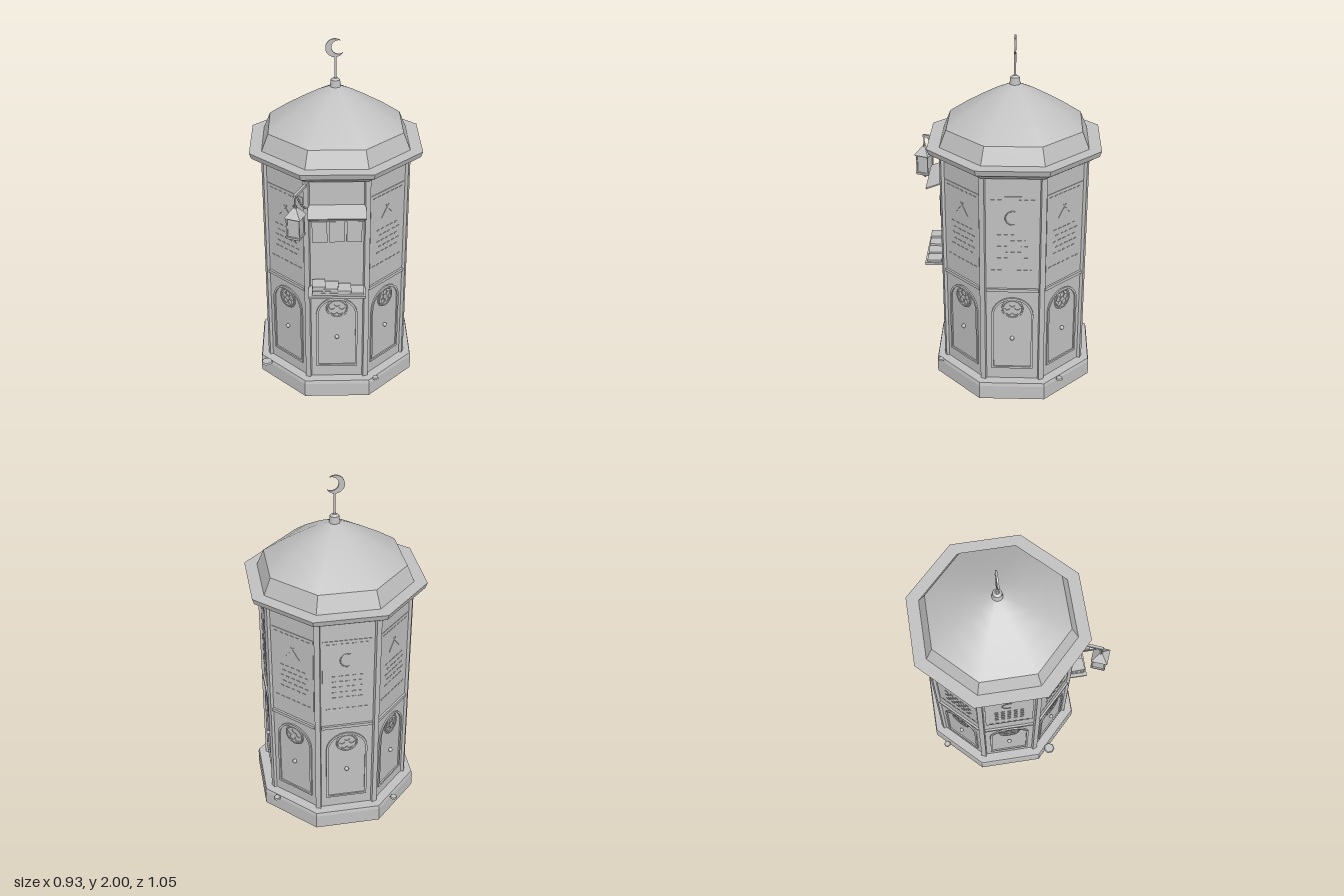
import * as THREE from 'three';

export function createModel() {
  const model = new THREE.Group();
  model.name = 'octagonalKiosk';
  const stone = new THREE.MeshStandardMaterial({ color: 0xc0c0c0 });
  const CZ = -0.06;      // centre of the tower
  const WALL = 0.387;    // wall distance from the centre
  const COS = Math.cos(Math.PI / 8);

  function add(parent, name, geo, x = 0, y = 0, z = 0) {
    const mesh = new THREE.Mesh(geo, stone);
    mesh.name = name;
    mesh.position.set(x, y, z);
    parent.add(mesh);
    return mesh;
  }
  const box = (w, h, d) => new THREE.BoxGeometry(w, h, d);

  // Eight-sided shell from [apothem, height] pairs
  function shell(name, profile, flat = true) {
    const pts = profile.map(([a, y]) => new THREE.Vector2(a / COS, y));
    let geo = new THREE.LatheGeometry(pts, 8, Math.PI / 8);
    if (flat) {
      geo = geo.toNonIndexed();
      geo.computeVertexNormals();
    }
    return add(model, name, geo, 0, 0, CZ);
  }

  shell('plinth', [[0, 0], [0.445, 0], [0.445, 0.085], [0.44, 0.105], [0, 0.105]]);
  shell('walls', [[WALL, 0.1], [WALL, 1.38]]);
  shell('cornice', [[0, 1.36], [0.397, 1.36], [0.447, 1.395], [0.455, 1.4], [0.465, 1.432], [0, 1.432]]);
  shell('roofSkirt', [[0.4, 1.43], [0.3625, 1.525]]);
  shell('dome', [[0.3625, 1.525], [0.26, 1.601], [0.16, 1.666], [0.09, 1.708], [0.03, 1.736], [0, 1.745]], false);

  // Finial with crescent
  add(model, 'finialBase', new THREE.CylinderGeometry(0.025, 0.03, 0.045, 16), 0, 1.752, CZ);
  add(model, 'finialCap', new THREE.CylinderGeometry(0.012, 0.025, 0.01, 16), 0, 1.779, CZ);
  add(model, 'finialPole', new THREE.CylinderGeometry(0.006, 0.006, 0.13, 10), 0, 1.845, CZ);
  const moon = new THREE.Shape();
  moon.absarc(0, 0, 0.05, 0.756, Math.PI * 2 - 0.756, false);
  moon.absarc(0.02, 0, 0.038, Math.PI * 2 - 1.125, 1.125, true);
  const moonGeo = new THREE.ExtrudeGeometry(moon, { depth: 0.01, bevelEnabled: false, curveSegments: 24 });
  add(model, 'crescent', moonGeo, -0.003, 1.95, CZ - 0.005).rotation.z = 0.2;

  // Arched frame outline
  function arch(path, half, bottom) {
    path.moveTo(-half, bottom);
    path.lineTo(half, bottom);
    path.lineTo(half, 0.525);
    path.absarc(0, 0.525, half, 0, Math.PI, false);
    path.lineTo(-half, bottom);
    return path;
  }
  const frame = arch(new THREE.Shape(), 0.116, 0.175);
  frame.holes.push(arch(new THREE.Path(), 0.104, 0.187));
  const frameGeo = new THREE.ExtrudeGeometry(frame, { depth: 0.008, bevelEnabled: false, curveSegments: 16 });

  // Pierced rosette
  const disc = new THREE.Shape().absarc(0, 0, 0.05, 0, Math.PI * 2, false);
  for (let k = 0; k < 5; k++) {
    const a = Math.PI / 2 + k * Math.PI * 0.4;
    disc.holes.push(new THREE.Path().absarc(0.029 * Math.cos(a), 0.029 * Math.sin(a), 0.0155, 0, Math.PI * 2, true));
  }
  const rosetteGeo = new THREE.ExtrudeGeometry(disc, { depth: 0.005, bevelEnabled: false, curveSegments: 10 });
  const ringGeo = new THREE.TorusGeometry(0.056, 0.005, 6, 28);
  const knobGeo = new THREE.SphereGeometry(0.012, 12, 8);
  const dashGeo = box(0.02, 0.005, 0.004);

  // Abstract ornament on an upper panel
  function ornament(side, diagonal) {
    add(side, 'upperPanel', box(0.27, 0.46, 0.004), 0, 1.025, 0.001);
    const g = new THREE.Group();
    g.name = 'panelOrnament';
    g.position.z = 0.004;
    side.add(g);
    for (let k = -3; k <= 3; k++) {
      add(g, 'upperDash', dashGeo, k * 0.035, 1.235, 0);
      add(g, 'lowerDash', dashGeo, k * 0.035, 0.815, 0);
    }
    for (let r = 0; r < 5; r++) {
      for (let k = -2; k <= 2; k++) {
        add(g, 'fieldDash', dashGeo, k * 0.036 + (diagonal && r % 2 ? 0.016 : 0), 0.89 + r * 0.035, 0);
      }
    }
    if (diagonal) {
      for (const s of [-1, 1]) {
        add(g, 'crossBar', box(0.006, 0.09, 0.004), s * 0.018, 1.13, 0).rotation.z = s * 0.7;
      }
    } else {
      add(g, 'arcMotif', new THREE.TorusGeometry(0.04, 0.003, 4, 14, Math.PI * 1.2), 0, 1.13, 0).rotation.z = 1.2;
    }
  }

  // Eight faces and corner posts
  for (let i = 0; i < 8; i++) {
    const turn = new THREE.Group();
    turn.name = 'face' + i;
    turn.position.z = CZ;
    turn.rotation.y = i * Math.PI / 4;
    model.add(turn);
    const side = new THREE.Group();
    side.name = 'facePanel' + i;
    side.position.z = WALL;
    turn.add(side);
    add(side, 'archFrame', frameGeo);
    add(side, 'rosette', rosetteGeo, 0, 0.57, 0);
    add(side, 'rosetteRing', ringGeo, 0, 0.57, 0.002);
    add(side, 'knob', knobGeo, 0, 0.38, 0.008);
    add(side, 'band', box(0.285, 0.018, 0.024), 0, 0.691, 0);
    if (i > 0) ornament(side, i % 2 === 1);

    const corner = new THREE.Group();
    corner.name = 'corner' + i;
    corner.position.z = CZ;
    corner.rotation.y = (i + 0.5) * Math.PI / 4;
    model.add(corner);
    add(corner, 'cornerPost', box(0.03, 1.27, 0.026), 0, 0.735, 0.417);
  }

  // Serving front: awning, hanging cards, shelf with stacks
  const wallZ = CZ + WALL;
  add(model, 'awning', box(0.31, 0.008, 0.1), 0, 1.2, wallZ + 0.046).rotation.x = 0.36;
  add(model, 'shelf', box(0.31, 0.014, 0.116), 0, 0.712, wallZ + 0.055);
  for (let k = -1; k <= 1; k++) {
    add(model, 'hangingCard', box(0.082, 0.125, 0.006), k * 0.093, 1.068, wallZ + 0.018);
  }
  add(model, 'cardRail', box(0.29, 0.006, 0.016), 0, 1.133, wallZ + 0.01);
  [4, 3, 2, 1].forEach((count, k) => {
    for (let n = 0; n < count; n++) {
      const sheet = add(model, 'stackedSheet', box(0.072, 0.0125, 0.08), -0.1 + k * 0.07, 0.726 + n * 0.0138, wallZ + 0.06);
      sheet.rotation.y = (n % 2 ? 0.04 : -0.03);
    }
  });

  // Bracket and lantern, built outward from a corner post
  const bracket = new THREE.Group();
  bracket.name = 'lanternBracket';
  bracket.position.z = CZ;
  bracket.rotation.y = -Math.PI / 8;
  model.add(bracket);
  const LZ = 0.568;
  add(bracket, 'arm', box(0.014, 0.014, 0.155), 0, 1.343, 0.496);
  const brace = new THREE.QuadraticBezierCurve3(
    new THREE.Vector3(0, 1.21, 0.43), new THREE.Vector3(0, 1.25, 0.5), new THREE.Vector3(0, 1.34, 0.545));
  add(bracket, 'brace', new THREE.TubeGeometry(brace, 12, 0.005, 6));
  add(bracket, 'hanger', new THREE.CylinderGeometry(0.004, 0.004, 0.06, 8), 0, 1.312, LZ);
  add(bracket, 'hangerRing', new THREE.TorusGeometry(0.01, 0.003, 6, 14), 0, 1.285, LZ);
  function pyramid(name, top, bottom, h, y) {
    const geo = new THREE.CylinderGeometry(top * Math.SQRT2, bottom * Math.SQRT2, h, 4, 1, false, Math.PI / 4).toNonIndexed();
    geo.computeVertexNormals();
    add(bracket, name, geo, 0, y, LZ);
  }
  pyramid('lanternRoof', 0.008, 0.045, 0.05, 1.255);
  pyramid('lanternGlass', 0.032, 0.032, 0.11, 1.175);
  pyramid('lanternBase', 0.04, 0.038, 0.014, 1.116);
  pyramid('lanternRim', 0.04, 0.04, 0.008, 1.228);
  pyramid('lanternFoot', 0.022, 0.008, 0.02, 1.1);
  add(bracket, 'lanternDrop', new THREE.SphereGeometry(0.008, 10, 6), 0, 1.09, LZ);
  for (const sx of [-1, 1]) {
    for (const sz of [-1, 1]) {
      add(bracket, 'lanternPost', box(0.008, 0.11, 0.008), sx * 0.033, 1.175, LZ + sz * 0.033);
    }
  }

  // Flat pebbles lying on the plinth rim
  for (const [x, z, r] of [[-0.41, 0.195, 0.034], [0.222, 0.36, 0.019], [-0.283, -0.445, 0.021], [0.388, -0.33, 0.021]]) {
    const pebble = add(model, 'pebble', new THREE.CylinderGeometry(r * 0.85, r, 0.01, 7), x, 0.108, z);
    pebble.rotation.y = x * 5;
  }
  return model;
}
